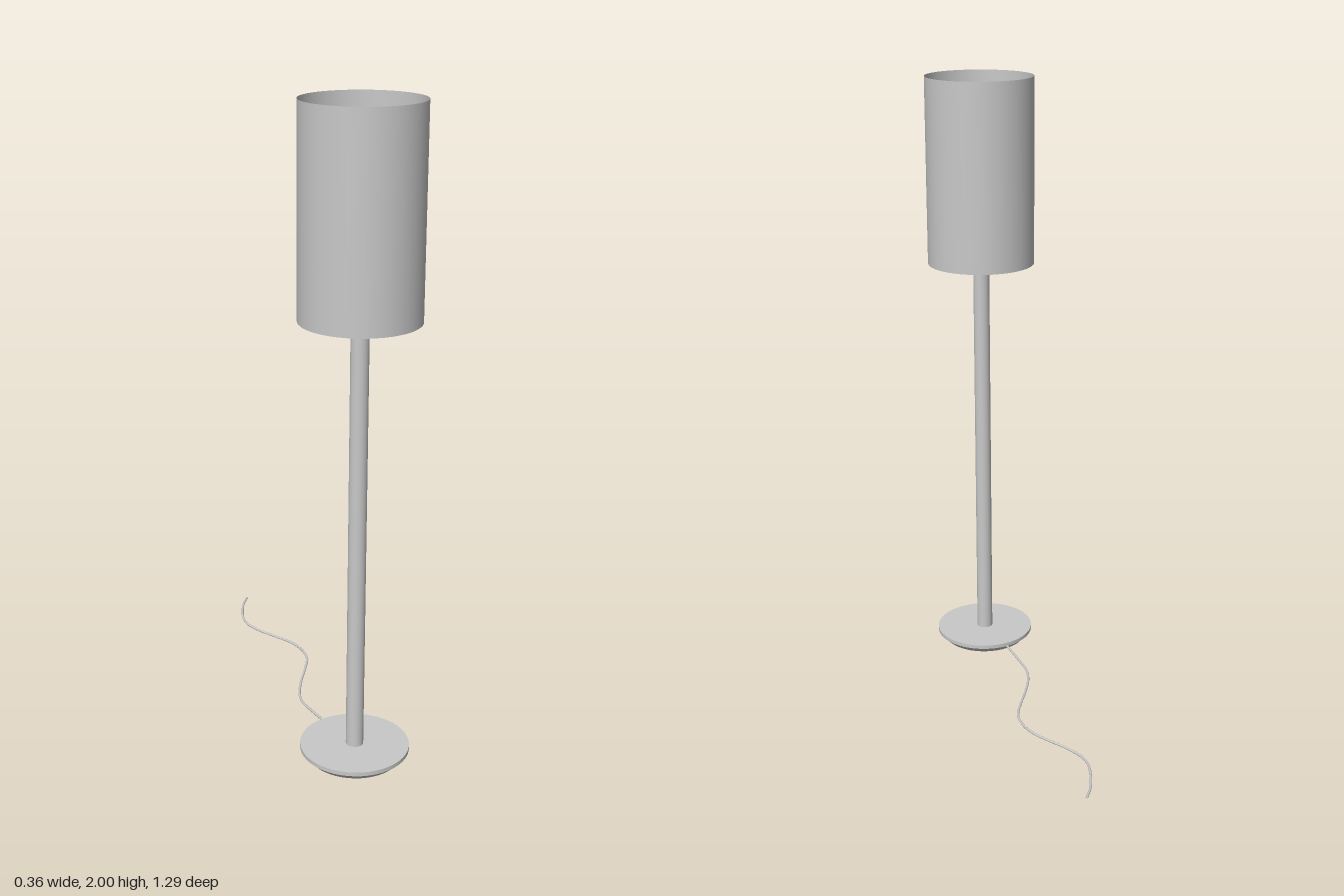
import * as THREE from 'three';

export function createModel() {
  const lamp = new THREE.Group();
  lamp.name = 'floorLamp';
  const grey = new THREE.MeshStandardMaterial({ color: 0xc8c8c8, side: THREE.DoubleSide });
  grey.name = 'light grey';
  const axisZ = 0.468;

  function add(name, geometry, y = 0, z = axisZ) {
    const mesh = new THREE.Mesh(geometry, grey);
    mesh.name = name;
    mesh.position.set(0, y, z);
    lamp.add(mesh);
  }
  // Upright cylinder standing between two heights
  function upright(name, bottom, top, rTop, rBottom = rTop, open = false) {
    add(name, new THREE.CylinderGeometry(rTop, rBottom, top - bottom, 48, 1, open), (bottom + top) / 2);
  }

  // Base: flat disc on a foot that tapers to the floor
  upright('baseDisc', 0.022, 0.035, 0.168);
  upright('baseFoot', 0, 0.022, 0.166, 0.145);

  // Stem, with a thin rod carrying on inside the shade
  upright('stem', 0.035, 1.395, 0.027);
  upright('stemCollar', 1.395, 1.4, 0.023, 0.027);
  upright('innerRod', 1.4, 1.62, 0.01);

  // Open drum shade
  upright('shade', 1.385, 2, 0.178, 0.178, true);

  // Power cord winding over the floor behind the base
  const path = [
    [-0.03, 0.021, 0.31], [-0.04, 0.014, 0.22], [-0.045, 0.008, 0.14], [-0.031, 0.006, 0.08],
    [0.008, 0.006, 0], [0.046, 0.006, -0.065], [0.078, 0.006, -0.13], [0.083, 0.006, -0.19],
    [0.07, 0.006, -0.25], [0.034, 0.006, -0.315], [0, 0.006, -0.37], [-0.028, 0.006, -0.435],
    [-0.03, 0.006, -0.485], [-0.012, 0.006, -0.55], [0.01, 0.006, -0.602], [0.038, 0.006, -0.645],
  ].map((p) => new THREE.Vector3(...p));
  add('powerCord', new THREE.TubeGeometry(new THREE.CatmullRomCurve3(path), 90, 0.004, 8), 0, 0);

  return lamp;
}
